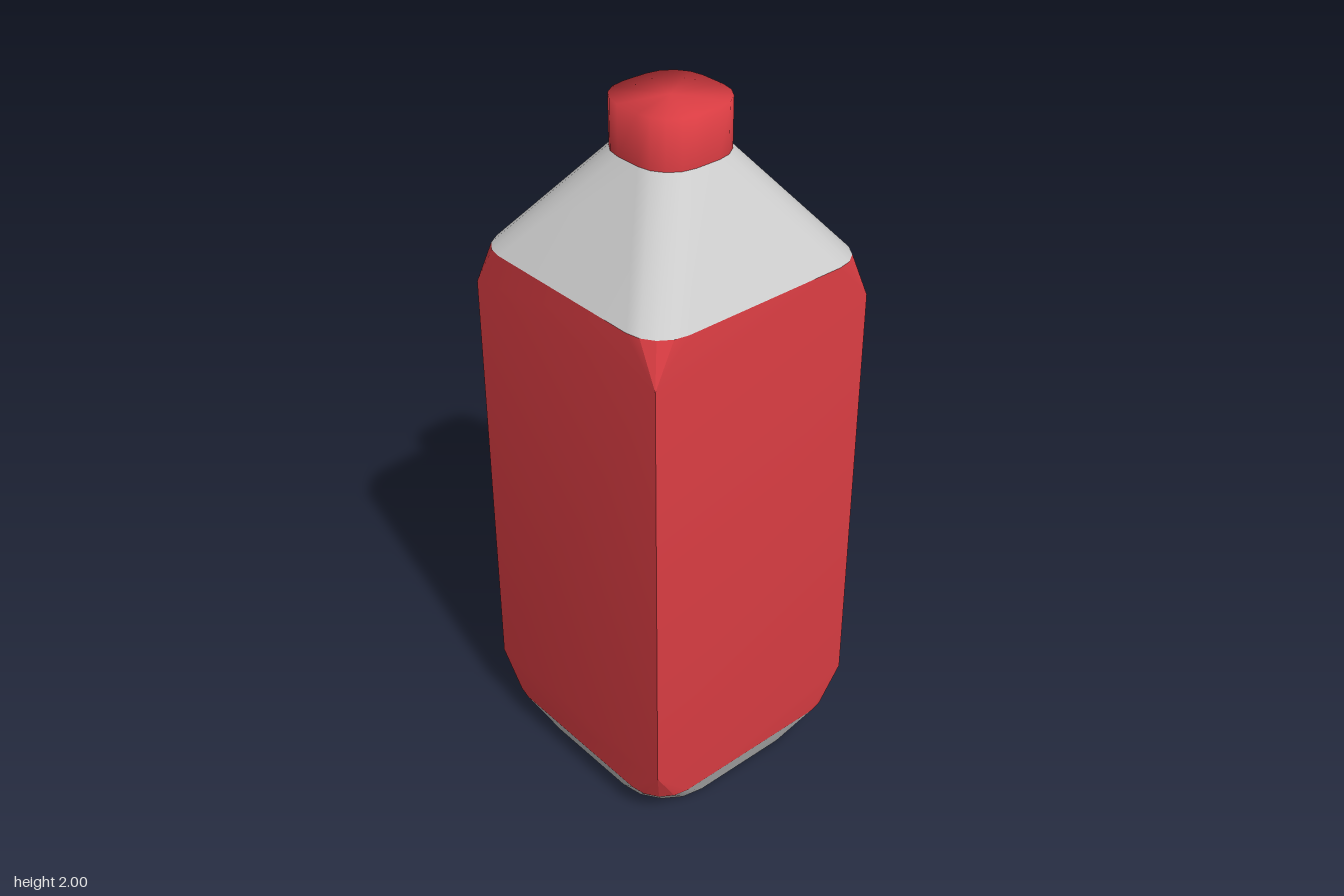
import * as THREE from 'three';
import { toCreasedNormals } from 'three/addons/utils/BufferGeometryUtils.js';

const STEPS = 4; // segments per rounded corner

// Rounded-square ring: half width, half length of the straight side, height
function ring(half, flat, y) {
  const points = [];
  for (let c = 0; c < 4; c++) {
    for (let s = 0; s <= STEPS; s++) {
      const a = (s / STEPS) * Math.PI / 2;
      const u = flat + (half - flat) * Math.cos(a);
      const v = flat + (half - flat) * Math.sin(a);
      const [x, z] = [[u, v], [-v, u], [-u, -v], [v, -u]][c];
      points.push(new THREE.Vector3(x, y, z));
    }
  }
  return points;
}

// Skin stacked rings from bottom to top, with optional end faces
function loft(rings, { top = false, bottom = false } = {}) {
  const n = rings[0].length;
  const verts = rings.flat();
  const index = [];
  const addTri = (a, b, c) => {
    const area = new THREE.Triangle(verts[a], verts[b], verts[c]).getArea();
    if (area > 1e-7) index.push(a, b, c); // collapsed corners become fans
  };
  for (let r = 0; r < rings.length - 1; r++) {
    for (let i = 0; i < n; i++) {
      const j = (i + 1) % n;
      const [a, b, c, d] = [r * n + i, r * n + j, (r + 1) * n + i, (r + 1) * n + j];
      addTri(a, c, b);
      addTri(b, c, d);
    }
  }
  const addEnd = (r, up) => {
    const centre = verts.push(new THREE.Vector3(0, rings[r][0].y, 0)) - 1;
    for (let i = 0; i < n; i++) {
      const p = r * n + i, q = r * n + (i + 1) % n;
      if (up) addTri(centre, q, p);
      else addTri(centre, p, q);
    }
  };
  if (top) addEnd(rings.length - 1, true);
  if (bottom) addEnd(0, false);
  const geometry = new THREE.BufferGeometry().setFromPoints(verts);
  geometry.setIndex(index);
  geometry.computeVertexNormals();
  return geometry;
}

export function createModel() {
  const group = new THREE.Group();
  const grey = new THREE.MeshStandardMaterial({ color: 0xcccccc, side: THREE.DoubleSide });
  const red = new THREE.MeshStandardMaterial({ color: 0xdb3d43, side: THREE.DoubleSide });
  const add = (name, geometry, material) => {
    const mesh = new THREE.Mesh(geometry, material);
    mesh.name = name;
    group.add(mesh);
  };

  const H = 0.355;
  const base = ring(0.31, 0.15, 0);
  const bodyBottom = ring(H, 0.245, 0.095);
  const bodyTop = ring(H, 0.25, 1.585);
  const neck = ring(0.137, 0.037, 1.865);

  // Square body whose corners are clipped into small fans at both ends
  const body = loft([bodyBottom, ring(H, H, 0.21), ring(H, H, 1.47), bodyTop]);
  add('body', toCreasedNormals(body, 0.3), red);

  // Shoulder tapering to the round neck
  add('shoulder', loft([bodyTop, neck]), grey);

  // Tapered foot and its underside
  add('foot', loft([base, bodyBottom]), grey);
  add('underside', loft([base], { bottom: true }), red);

  // Cap, softly shaded over its rim
  add('cap', loft([neck, ring(0.137, 0.037, 2)], { top: true }), red);

  return group;
}
